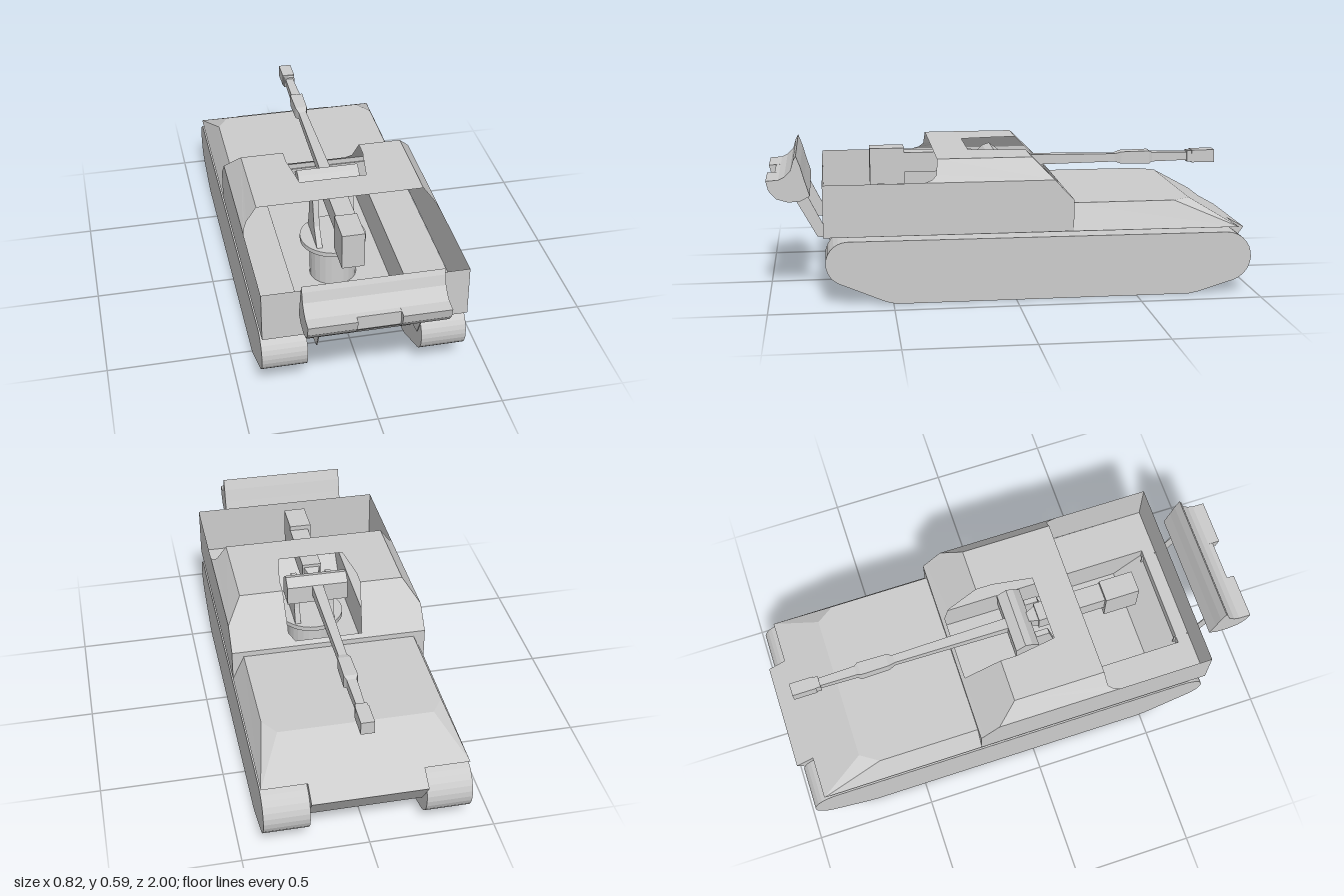
import * as THREE from 'three';

const mat = new THREE.MeshStandardMaterial({ color: 0xcccccc, flatShading: true, side: THREE.DoubleSide });

export function createModel() {
  const model = new THREE.Group();

  const add = (name, geo, parent = model) => {
    const mesh = new THREE.Mesh(geo, mat);
    mesh.name = name;
    parent.add(mesh);
    return mesh;
  };
  const group = (name) => {
    const g = new THREE.Group();
    g.name = name;
    model.add(g);
    return g;
  };
  const box = (name, x0, x1, y0, y1, z0, z1, parent) =>
    add(name, new THREE.BoxGeometry(x1 - x0, y1 - y0, z1 - z0)
      .translate((x0 + x1) / 2, (y0 + y1) / 2, (z0 + z1) / 2), parent);

  // Side profile of [z, y] points, extruded across x
  const profile = (name, pts, x0, x1, parent) => {
    const shape = new THREE.Shape(pts.map(([z, y]) => new THREE.Vector2(z, y)));
    const geo = new THREE.ExtrudeGeometry(shape, { depth: x1 - x0, bevelEnabled: false });
    return add(name, geo.rotateY(-Math.PI / 2).translate(x1, 0, 0), parent);
  };
  const arc = (cz, cy, r, a0, a1, n) => Array.from({ length: n + 1 }, (_, i) => {
    const a = THREE.MathUtils.degToRad(a0 + (a1 - a0) * i / n);
    return [cz + r * Math.cos(a), cy + r * Math.sin(a)];
  });

  // Sheet panels: convex polygons of [x, y, z]; mirrored ones are repeated at -x
  const panels = (name, centre, mirrored = []) => {
    const pos = [];
    const fan = (p) => {
      for (let i = 1; i < p.length - 1; i++) pos.push(...p[0], ...p[i], ...p[i + 1]);
    };
    centre.forEach(fan);
    mirrored.forEach((p) => {
      fan(p);
      fan(p.map(([x, y, z]) => [-x, y, z]).reverse());
    });
    const geo = new THREE.BufferGeometry();
    geo.setAttribute('position', new THREE.Float32BufferAttribute(pos, 3));
    geo.computeVertexNormals();
    return add(name, geo);
  };
  // Panel spanning from -x to +x between two [x, y, z] edges
  const span = ([xa, ya, za], [xb, yb, zb]) => [[-xa, ya, za], [xa, ya, za], [xb, yb, zb], [-xb, yb, zb]];

  // Tracks
  const track = [
    ...arc(0.68, 0.172, 0.09, 90, -65, 12), [0.53, 0.01], [0.49, 0],
    [-0.72, 0], [-0.76, 0.008], ...arc(-0.875, 0.152, 0.105, -110, -270, 12),
  ];
  profile('leftTrack', track, 0.228, 0.41);
  profile('rightTrack', track, -0.41, -0.228);

  // Lower hull tub, open beneath the fighting compartment
  panels('lowerHull', [
    span([0.228, 0.28, 0.72], [0.228, 0.23, 0.72]),
    span([0.228, 0.23, 0.72], [0.228, 0.11, 0.6]),
    span([0.228, 0.11, 0.6], [0.228, 0.11, -0.91]),
    span([0.228, 0.11, -0.91], [0.228, 0.235, -1]),
    span([0.228, 0.28, 0.775], [0.228, 0.28, 0.72]),
  ], [
    [[0.228, 0.28, 0.72], [0.228, 0.23, 0.72], [0.228, 0.11, 0.6], [0.228, 0.11, -0.91],
      [0.228, 0.235, -1], [0.228, 0.277, -0.925]],
    [[0.228, 0.28, 0.775], [0.408, 0.28, 0.775], [0.408, 0.277, -0.925], [0.228, 0.277, -0.925]],
  ]);

  // Engine deck with chamfered sides and a sloping nose
  panels('engineDeck', [
    [[-0.36, 0.387, -0.23], [0.36, 0.387, -0.23], [0.36, 0.387, -0.66], [0.31, 0.387, -0.735],
      [-0.31, 0.387, -0.735], [-0.36, 0.387, -0.66]],
    span([0.31, 0.387, -0.735], [0.408, 0.277, -0.925]),
    span([0.228, 0.277, -0.925], [0.228, 0.235, -1]),
  ], [
    [[0.36, 0.387, -0.23], [0.408, 0.28, -0.23], [0.408, 0.277, -0.925], [0.36, 0.387, -0.66]],
    [[0.36, 0.387, -0.66], [0.408, 0.277, -0.925], [0.31, 0.387, -0.735]],
  ]);

  // Compartment walls, open at the top behind the roof
  panels('compartmentWalls', [
    span([0.408, 0.28, 0.775], [0.408, 0.493, 0.775]),
    span([0.408, 0.28, -0.235], [0.408, 0.41, -0.235]),
  ], [
    [[0.408, 0.28, 0.775], [0.408, 0.28, -0.235], [0.408, 0.41, -0.235],
      [0.408, 0.493, -0.155], [0.408, 0.493, 0.775]],
  ]);

  // Roof and sloped face around the gun opening
  panels('compartmentRoof', [
    span([0.408, 0.41, -0.235], [0.408, 0.425, -0.22]),
    span([0.14, 0.578, 0.17], [0.14, 0.578, 0.315]),
  ], [
    [[0.408, 0.425, -0.22], [0.408, 0.493, -0.155], [0.345, 0.578, -0.07],
      [0.165, 0.578, -0.07], [0.165, 0.45, -0.195], [0.14, 0.425, -0.22]],
    [[0.345, 0.578, -0.07], [0.345, 0.578, 0.315], [0.165, 0.578, 0.315], [0.165, 0.578, -0.07]],
    [[0.165, 0.578, 0], [0.165, 0.578, 0.315], [0.14, 0.578, 0.315], [0.14, 0.578, 0.17]],
    [[0.408, 0.493, -0.155], [0.408, 0.493, 0.37], [0.4, 0.503, 0.34], [0.387, 0.52, 0.32],
      [0.345, 0.578, 0.315], [0.345, 0.578, -0.07]],
  ]);

  // Turntable and gun cradle
  const mount = group('gunMount');
  add('pedestal', new THREE.CylinderGeometry(0.1, 0.1, 0.17, 24).translate(0, 0.195, 0.17), mount);
  add('turntable', new THREE.CylinderGeometry(0.14, 0.14, 0.02, 32).translate(0, 0.29, 0.17), mount);
  const fork = [[0.26, 0.3], [0.2, 0.37], [0.17, 0.5], [0.11, 0.5], [0.09, 0.37], [0.07, 0.3]];
  for (const s of [-1, 1]) profile('forkPlate', fork, s * 0.075 - 0.012, s * 0.075 + 0.012, mount);
  profile('mantlet', [[0.11, 0.45], [0.11, 0.52], [0.08, 0.55], [0.05, 0.56], [0.01, 0.53], [0.01, 0.45]],
    -0.13, 0.13, mount);

  // Gun: square sections along z given as [z, half width]
  const gun = group('gun');
  const bar = (name, z0, w0, z1, w1) => {
    const geo = new THREE.CylinderGeometry(w1 * Math.SQRT2, w0 * Math.SQRT2, z0 - z1, 4)
      .rotateY(Math.PI / 4).rotateX(-Math.PI / 2).translate(0, 0.507, (z0 + z1) / 2);
    add(name, geo, gun);
  };
  bar('barrel', 0.06, 0.024, -0.5, 0.017);
  bar('sleeveTaper', -0.48, 0.017, -0.51, 0.026);
  bar('sleeve', -0.51, 0.026, -0.63, 0.028);
  bar('sleeveEnd', -0.63, 0.028, -0.645, 0.02);
  bar('barrelTip', -0.645, 0.02, -0.81, 0.017);
  bar('muzzleCollar', -0.8, 0.024, -0.825, 0.024);
  bar('muzzleBrake', -0.82, 0.027, -0.92, 0.027);
  bar('recoilHousing', 0.16, 0.04, 0.1, 0.02);
  box('breechSlide', -0.04, 0.04, 0.47, 0.553, 0.14, 0.46, gun);
  box('breechBlock', -0.052, 0.04, 0.42, 0.573, 0.43, 0.575, gun);

  // Recoil spade on thin arms, with a notch in its lip
  const spade = group('recoilSpade');
  const back = [[0.91, 0.4], [0.86, 0.405], [0.825, 0.425], [0.845, 0.49], [0.86, 0.545], [0.877, 0.59]];
  const face = [[0.888, 0.57], [0.9, 0.53], [0.925, 0.505], [0.95, 0.493]];
  const full = [...back, ...face, [1, 0.49], [0.99, 0.45], [0.96, 0.415]];
  for (const s of [-1, 1]) {
    profile('blade', full, s * 0.179 - 0.094, s * 0.179 + 0.094, spade);
    profile('arm', [[0.71, 0.225], [0.8, 0.24], [0.89, 0.405], [0.84, 0.42], [0.77, 0.28], [0.71, 0.28]],
      s * 0.2 - 0.002, s * 0.2 + 0.002, spade);
  }
  profile('bladeNotch', [...back, ...face, [0.97, 0.49], [0.968, 0.43], [0.955, 0.415]], -0.085, 0.085, spade);

  return model;
}
